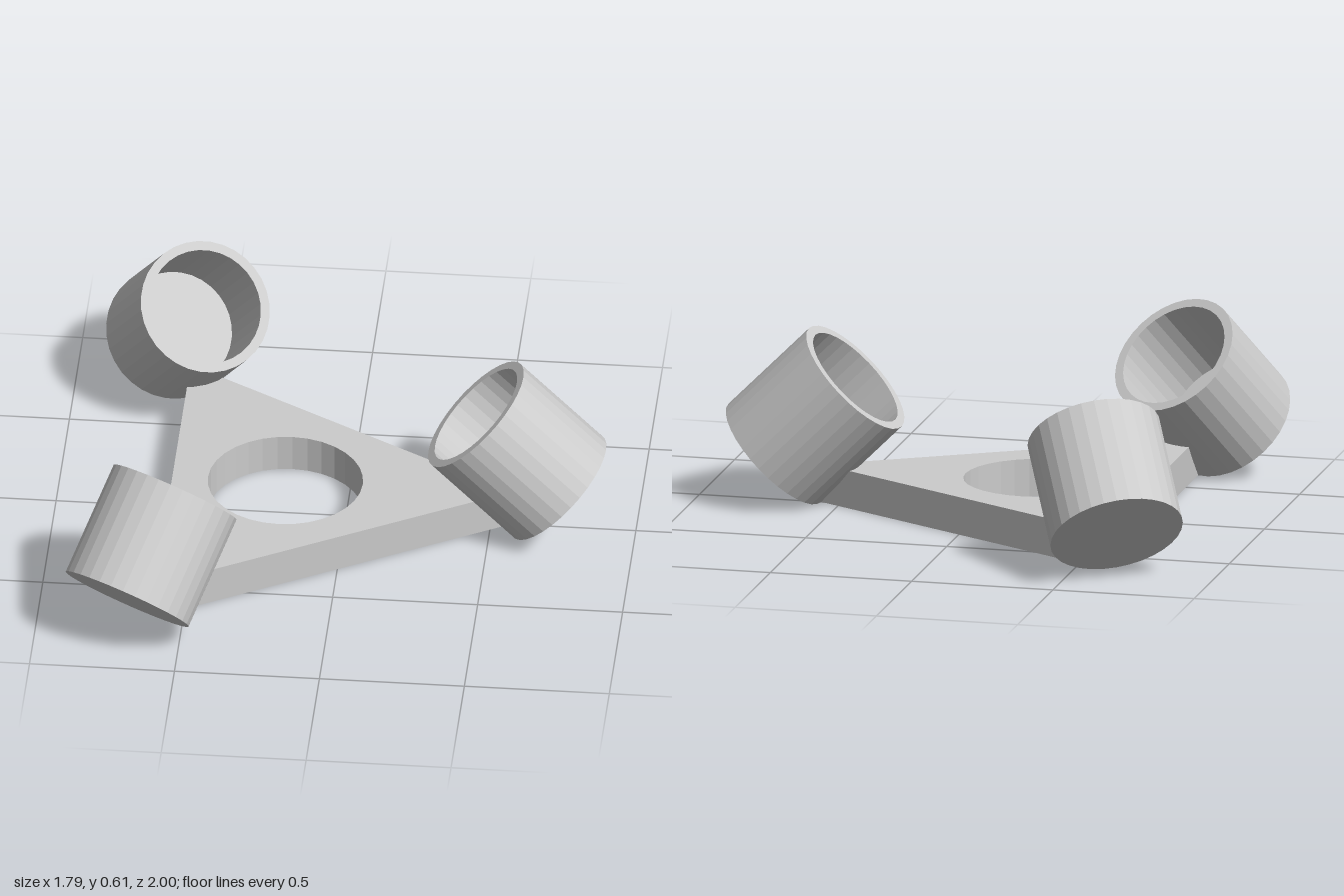
import * as THREE from 'three';

const REACH = 0.778;   // centre to triangle tip
const CENTRE_X = -0.209;
const THICK = 0.133;   // base thickness
const RADIUS = 0.232, INNER = 0.2, LENGTH = 0.403, FLOOR = 0.068;
const THIRD = (Math.PI * 2) / 3;

// Triangular plate with a round hole; its tips are cut back at the top to follow the tilted cups
function baseGeometry() {
  const cut = THICK - 0.02;
  const corner = (i, side) => {
    const p = new THREE.Vector2(REACH - cut, side * cut * Math.tan(Math.PI / 6));
    return p.rotateAround(new THREE.Vector2(), i * THIRD);
  };
  const points = [];
  for (let i = 0; i < 3; i++) points.push(corner(i, -1), corner(i, 1));
  const shape = new THREE.Shape(points);
  const hole = new THREE.Path();
  hole.absarc(0, 0, 0.267, 0, Math.PI * 2, true);
  shape.holes.push(hole);
  const geo = new THREE.ExtrudeGeometry(shape, { depth: THICK, bevelEnabled: false, curveSegments: 16 });

  // Draw the lower corners out to sharp tips
  const pos = geo.attributes.position;
  for (let v = 0; v < pos.count; v++) {
    const x = pos.getX(v), y = pos.getY(v);
    if (pos.getZ(v) > 0.001 || Math.hypot(x, y) < 0.4) continue;
    const a = Math.round(Math.atan2(y, x) / THIRD) * THIRD;
    pos.setXY(v, REACH * Math.cos(a), REACH * Math.sin(a));
  }
  geo.rotateX(-Math.PI / 2);
  geo.computeVertexNormals();
  return geo;
}

// Open cup with a thick wall and floor
function cupGeometry() {
  const profile = [
    [0, 0], [RADIUS, 0], [RADIUS, LENGTH], [INNER, LENGTH], [INNER, FLOOR], [0, FLOOR],
  ].map(([x, y]) => new THREE.Vector2(x, y));
  const geo = new THREE.LatheGeometry(profile, 32).toNonIndexed();
  geo.computeVertexNormals(); // flat facets
  return geo;
}

export function createModel() {
  const model = new THREE.Group();
  model.name = 'tripleCupHolder';
  const grey = new THREE.MeshStandardMaterial({ color: 0xcccccc });
  grey.name = 'light grey';

  const base = new THREE.Mesh(baseGeometry(), grey);
  base.name = 'triangularBase';
  model.add(base);

  // Three cups leaning inward, each resting its lowest edge on a tip
  const cupGeo = cupGeometry();
  const offset = RADIUS * Math.SQRT1_2;
  for (let i = 0; i < 3; i++) {
    const arm = new THREE.Group();
    arm.name = 'cupArm' + (i + 1);
    arm.rotation.y = i * THIRD;
    const cup = new THREE.Mesh(cupGeo, grey);
    cup.name = 'cup' + (i + 1);
    cup.position.set(REACH + offset, offset, 0);
    cup.rotation.z = Math.PI / 4;
    arm.add(cup);
    model.add(arm);
  }
  model.position.x = CENTRE_X;
  return model;
}
